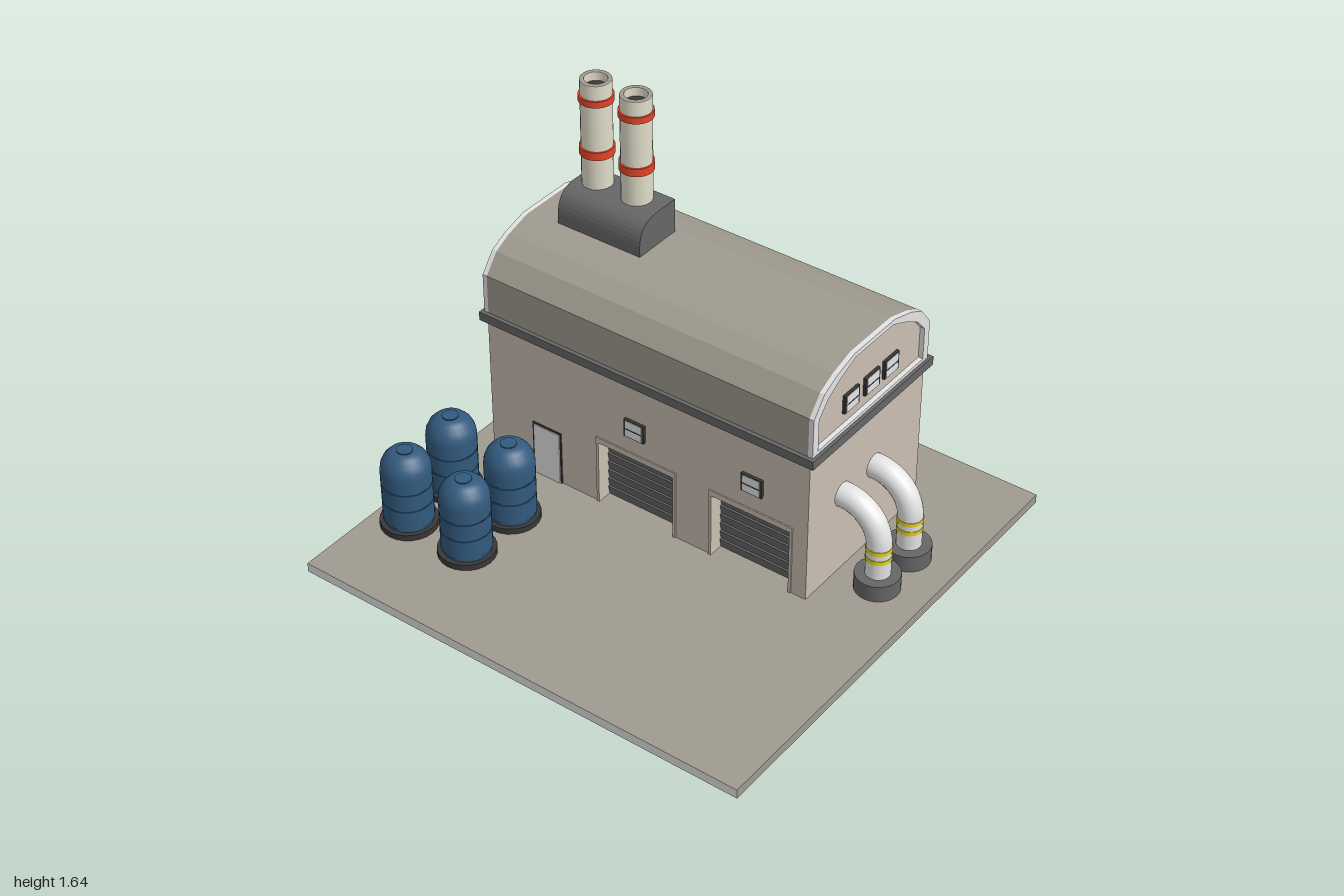
import * as THREE from 'three';
import { toCreasedNormals } from 'three/addons/utils/BufferGeometryUtils.js';

const paint = (name, color, side = THREE.FrontSide) =>
  new THREE.MeshStandardMaterial({ name, color, side });

export function createModel() {
  const wall = paint('wall beige', 0xcabeb3);
  const concrete = paint('concrete and roof', 0xa09b8f, THREE.DoubleSide);
  const light = paint('light grey', 0xe4e4e4, THREE.DoubleSide);
  const steel = paint('dark steel', 0x666666);
  const black = paint('near black', 0x383838);
  const cream = paint('cream', 0xe2ddca);
  const red = paint('red', 0xe64526);
  const blue = paint('tank blue', 0x325a7e);
  const yellow = paint('yellow', 0xf0de20);

  const model = new THREE.Group();
  model.name = 'factory';
  const ground = 0.0415; // parts rest just above the slab

  const add = (name, geometry, material, x = 0, y = 0, z = 0, parent = model) => {
    const mesh = new THREE.Mesh(geometry, material);
    mesh.name = name;
    mesh.position.set(x, y, z);
    parent.add(mesh);
    return mesh;
  };
  // Box given by its low and high corners
  const block = (name, mat, [x0, y0, z0], [x1, y1, z1], parent) =>
    add(name, new THREE.BoxGeometry(x1 - x0, y1 - y0, z1 - z0), mat,
      (x0 + x1) / 2, (y0 + y1) / 2, (z0 + z1) / 2, parent);
  // Upright cylinder between two heights
  const drum = (name, mat, r, y0, y1, x, z, parent) =>
    add(name, new THREE.CylinderGeometry(r, r, y1 - y0, 24), mat, x, (y0 + y1) / 2, z, parent);
  const group = (name, x = 0, y = 0, z = 0, turn = 0) => {
    const g = new THREE.Group();
    g.name = name;
    g.position.set(x, y, z);
    g.rotation.y = turn;
    model.add(g);
    return g;
  };
  const shapeOf = (pts) => new THREE.Shape(pts.map(([a, b]) => new THREE.Vector2(a, b)));
  // Extrude a (-z, y) outline along x
  const alongX = (shape, length) =>
    new THREE.ExtrudeGeometry(shape, { depth: length, bevelEnabled: false, curveSegments: 8 })
      .rotateY(Math.PI / 2);

  // Ground slab: a top sheet with a skirt, open below, pale front edge
  add('slabTop', new THREE.PlaneGeometry(2, 2).rotateX(-Math.PI / 2), concrete, 0, 0.04, 0);
  for (let i = 0; i < 4; i++) {
    const edge = new THREE.PlaneGeometry(2, 0.04).translate(0, 0.02, 1).rotateY(i * Math.PI / 2);
    add('slabEdge', edge, i === 0 ? light : concrete);
  }

  // Building body, with doorways cut through the front layer
  block('mainBody', wall, [-0.873, ground, -0.705], [0.628, 0.7, -0.02]);
  const doors = [[-0.34, 0.015], [0.195, 0.55]];
  const outline = [[-0.873, ground]];
  for (const [a, b] of doors) outline.push([a, ground], [a, 0.33], [b, 0.33], [b, ground]);
  outline.push([0.628, ground], [0.628, 0.7], [-0.873, 0.7]);
  add('frontWall', new THREE.ExtrudeGeometry(shapeOf(outline), { depth: 0.067, bevelEnabled: false }),
    wall, 0, 0, -0.02);

  // Roller doors with tilted slats and thin surrounds
  for (const [a, b] of doors) {
    const door = group('rollerDoor');
    for (let i = 0; i < 7; i++) {
      const y = ground + i * 0.041;
      const slat = block('doorSlat', steel, [a, y, -0.022], [b, y + 0.041, -0.01], door);
      slat.rotation.x = 0.2;
    }
    block('doorHeader', wall, [a - 0.012, 0.33, 0.046], [b + 0.012, 0.355, 0.052], door);
    block('doorJamb', wall, [a - 0.012, ground, 0.046], [a, 0.33, 0.052], door);
    block('doorJamb', wall, [b, ground, 0.046], [b + 0.012, 0.33, 0.052], door);
  }

  // Personnel door
  block('sideDoorFrame', black, [-0.665, ground, 0.046], [-0.525, 0.285, 0.052]);
  block('sideDoor', light, [-0.658, ground, 0.046], [-0.532, 0.278, 0.056]);

  // Ledge below the roof
  block('ledge', steel, [-0.897, 0.682, -0.727], [0.655, 0.72, 0.07]);

  // Faceted barrel roof with framed ends
  const arch = (s) => {
    const half = [[0.38 - s, 0.72 + s * 0.4], [0.38 - s, 0.89 - s * 0.5], [0.317 - s * 0.8, 0.97 - s],
      [0.24 - s * 0.6, 1.008 - s * 0.9], [0.13 - s * 0.2, 1.04 - s * 0.6]];
    const pts = half.map(([a, b]) => [0.327 + a, b]);
    return pts.concat(half.map(([a, b]) => [0.327 - a, b]).reverse());
  };
  add('roof', alongX(shapeOf(arch(0)), 1.485), [wall, concrete], -0.864);
  const rim = shapeOf(arch(0));
  rim.holes.push(shapeOf(arch(0.034)));
  for (const x of [-0.884, 0.621]) add('roofEndRim', alongX(rim, 0.02), light, x);

  // Small windows, built facing +z
  const makeWindow = (x, y, z, turn) => {
    const w = group('window', x, y, z, turn);
    block('windowFrame', black, [-0.047, -0.04, -0.01], [0.047, 0.04, 0.01], w);
    block('windowPane', light, [-0.038, -0.036, 0.008], [0.038, 0.036, 0.012], w);
    block('windowBar', black, [-0.038, -0.003, 0.01], [0.038, 0.0, 0.014], w);
  };
  for (const x of [-0.163, 0.38]) makeWindow(x, 0.473, 0.05, 0);
  for (const z of [-0.208, -0.342, -0.468]) {
    makeWindow(0.623, 0.823, z, Math.PI / 2);
    makeWindow(-0.866, 0.823, z, -Math.PI / 2);
  }

  // Long slatted vents on the back and left walls
  const makeVent = (x, z, turn) => {
    const v = group('vent', x, 0.52, z, turn);
    for (const s of [-1, 1]) {
      add('ventRail', new THREE.BoxGeometry(0.25, 0.012, 0.024), cream, 0, s * 0.032, 0, v);
      add('ventPost', new THREE.BoxGeometry(0.015, 0.076, 0.024), cream, s * 0.1175, 0, 0, v);
    }
    add('ventOpening', new THREE.BoxGeometry(0.23, 0.06, 0.008), black, 0, 0, 0, v);
    for (let i = -1; i <= 1; i++) {
      const slat = add('ventSlat', new THREE.BoxGeometry(0.22, 0.012, 0.004), black, 0, i * 0.017, 0.006, v);
      slat.rotation.x = 0.5;
    }
  };
  for (const x of [0.225, -0.135, -0.495]) makeVent(x, -0.705, Math.PI);
  for (const z of [-0.52, -0.15]) makeVent(-0.873, z, -Math.PI / 2);

  // Chimney housing with a rounded front shoulder
  const housing = new THREE.Shape();
  housing.moveTo(0.22, 1.0);
  housing.lineTo(0.44, 1.0);
  housing.lineTo(0.44, 1.185);
  housing.lineTo(0.315, 1.185);
  housing.quadraticCurveTo(0.225, 1.18, 0.22, 1.085);
  add('chimneyHousing', alongX(housing, 0.39), steel, -0.73);

  // Hollow chimneys with red bands
  const flue = [[0.062, 1.18], [0.062, 1.636], [0.046, 1.636], [0.046, 1.55]];
  for (const x of [-0.649, -0.462]) {
    const chimney = group('chimney', x, 0, -0.365);
    const tube = new THREE.LatheGeometry(flue.map(([r, y]) => new THREE.Vector2(r, y)), 20);
    add('chimneyTube', toCreasedNormals(tube, 0.6), cream, 0, 0, 0, chimney);
    const lip = new THREE.RingGeometry(0.045, 0.061, 20).rotateX(-Math.PI / 2);
    add('chimneyLip', lip, concrete, 0, 1.6375, 0, chimney);
    drum('chimneyInside', black, 0.046, 1.54, 1.6, 0, 0, chimney);
    drum('chimneyBand', red, 0.069, 1.318, 1.352, 0, 0, chimney);
    drum('chimneyBand', red, 0.069, 1.547, 1.574, 0, 0, chimney);
  }

  // Domed storage tanks
  const dome = [[0.1, 0.25], [0.1, 0.31], [0.096, 0.336], [0.084, 0.362], [0.064, 0.383], [0.042, 0.393], [0, 0.395]];
  for (const x of [-0.85, -0.56]) {
    for (const z of [0.32, 0.585]) {
      const tank = group('tank', x, 0, z);
      drum('tankFoot', black, 0.115, ground, 0.067, 0, 0, tank);
      drum('tankCore', blue, 0.096, 0.065, 0.28, 0, 0, tank);
      drum('tankLowerBand', blue, 0.1, 0.08, 0.166, 0, 0, tank);
      drum('tankMiddleBand', blue, 0.1, 0.171, 0.245, 0, 0, tank);
      add('tankDome', new THREE.LatheGeometry(dome.map(([r, y]) => new THREE.Vector2(r, y)), 24),
        blue, 0, 0, 0, tank);
      drum('tankCap', blue, 0.032, 0.385, 0.398, 0, 0, tank);
    }
  }

  // Bent pipes from the right wall into round footings
  const bend = new THREE.CurvePath();
  const v = (x, y) => new THREE.Vector3(x, y, 0);
  const k = 0.16 * 0.5523;
  bend.add(new THREE.LineCurve3(v(0.6, 0.405), v(0.64, 0.405)));
  bend.add(new THREE.CubicBezierCurve3(v(0.64, 0.405), v(0.64 + k, 0.405), v(0.8, 0.245 + k), v(0.8, 0.245)));
  bend.add(new THREE.LineCurve3(v(0.8, 0.245), v(0.8, 0.06)));
  for (const z of [-0.175, -0.387]) {
    const pipe = group('pipe', 0, 0, z);
    add('pipeBend', new THREE.TubeGeometry(bend, 32, 0.05, 16), light, 0, 0, 0, pipe);
    drum('pipeFooting', steel, 0.09, ground, 0.113, 0.8, 0, pipe);
    for (const y of [0.185, 0.227]) drum('pipeStripe', yellow, 0.052, y, y + 0.018, 0.8, 0, pipe);
  }

  return model;
}
